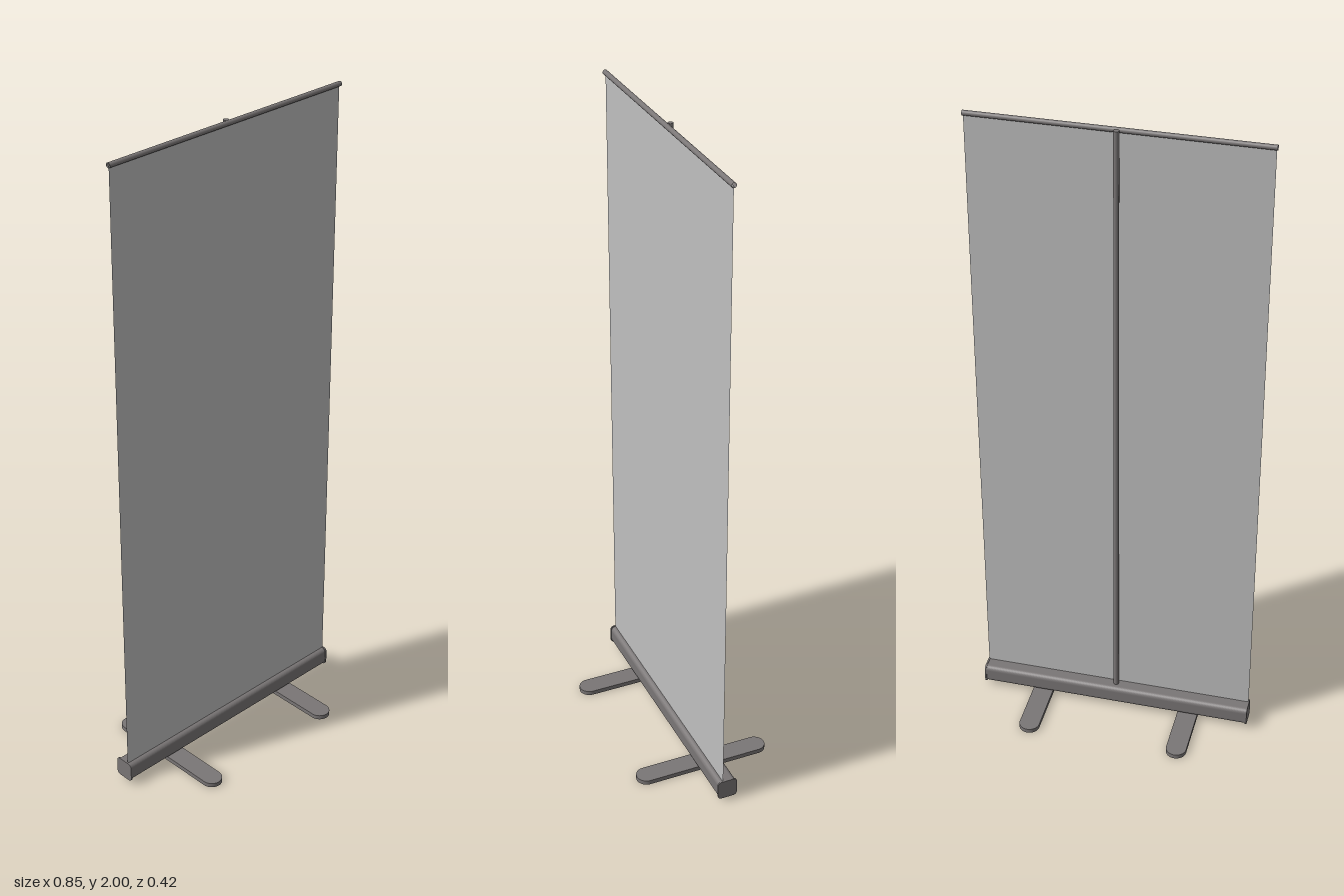
import * as THREE from 'three';

export function createModel() {
  const group = new THREE.Group();
  const metal = new THREE.MeshStandardMaterial({ color: 0x7a7676 });
  metal.name = 'grey metal';
  const shell = new THREE.MeshStandardMaterial({ color: 0x7a7676, side: THREE.DoubleSide });
  shell.name = 'grey metal shell';
  const fabric = new THREE.MeshStandardMaterial({ color: 0xbfbfbf, side: THREE.DoubleSide });
  fabric.name = 'light grey fabric';

  const add = (name, geometry, material, x = 0, y = 0, z = 0) => {
    const mesh = new THREE.Mesh(geometry, material);
    mesh.name = name;
    mesh.position.set(x, y, z);
    group.add(mesh);
    return mesh;
  };

  // Rounded rectangle centred on the origin
  const roundedRect = (w, h, r) => {
    const s = new THREE.Shape();
    const x = w / 2 - r, y = h / 2 - r;
    s.absarc(x, y, r, 0, Math.PI / 2);
    s.absarc(-x, y, r, Math.PI / 2, Math.PI);
    s.absarc(-x, -y, r, Math.PI, Math.PI * 1.5);
    s.absarc(x, -y, r, Math.PI * 1.5, Math.PI * 2);
    s.closePath();
    return s;
  };
  const extrude = (shape, depth) => new THREE.ExtrudeGeometry(shape,
    { depth, bevelEnabled: false, curveSegments: 8 }).translate(0, 0, -depth / 2);

  // Cassette that holds the roll, with a thin cap on each end
  add('cassette', extrude(roundedRect(0.058, 0.058, 0.014), 0.842).rotateY(Math.PI / 2),
    metal, 0, 0.045, -0.001);
  for (const side of [1, -1]) {
    add(side > 0 ? 'leftEndCap' : 'rightEndCap',
      extrude(roundedRect(0.062, 0.062, 0.012), 0.005).rotateY(Math.PI / 2),
      metal, side * 0.4225, 0.045, -0.001);
    // Flat foot with round ends
    add(side > 0 ? 'leftFoot' : 'rightFoot',
      extrude(roundedRect(0.063, 0.424, 0.0314), 0.014).rotateX(Math.PI / 2),
      metal, side * 0.235, 0.007, 0);
  }

  // Support pole behind the banner
  add('pole', new THREE.CylinderGeometry(0.008, 0.008, 1.925, 20), metal, 0, 1.0345, -0.001);

  // Banner sheet and the open-ended rail that clamps its top edge
  add('banner', new THREE.PlaneGeometry(0.845, 1.92), fabric, 0, 1.03, 0.013);
  add('topRail', new THREE.CylinderGeometry(0.0075, 0.0075, 0.85, 16, 1, true).rotateZ(Math.PI / 2),
    shell, 0, 1.9925, 0.0135);

  return group;
}
